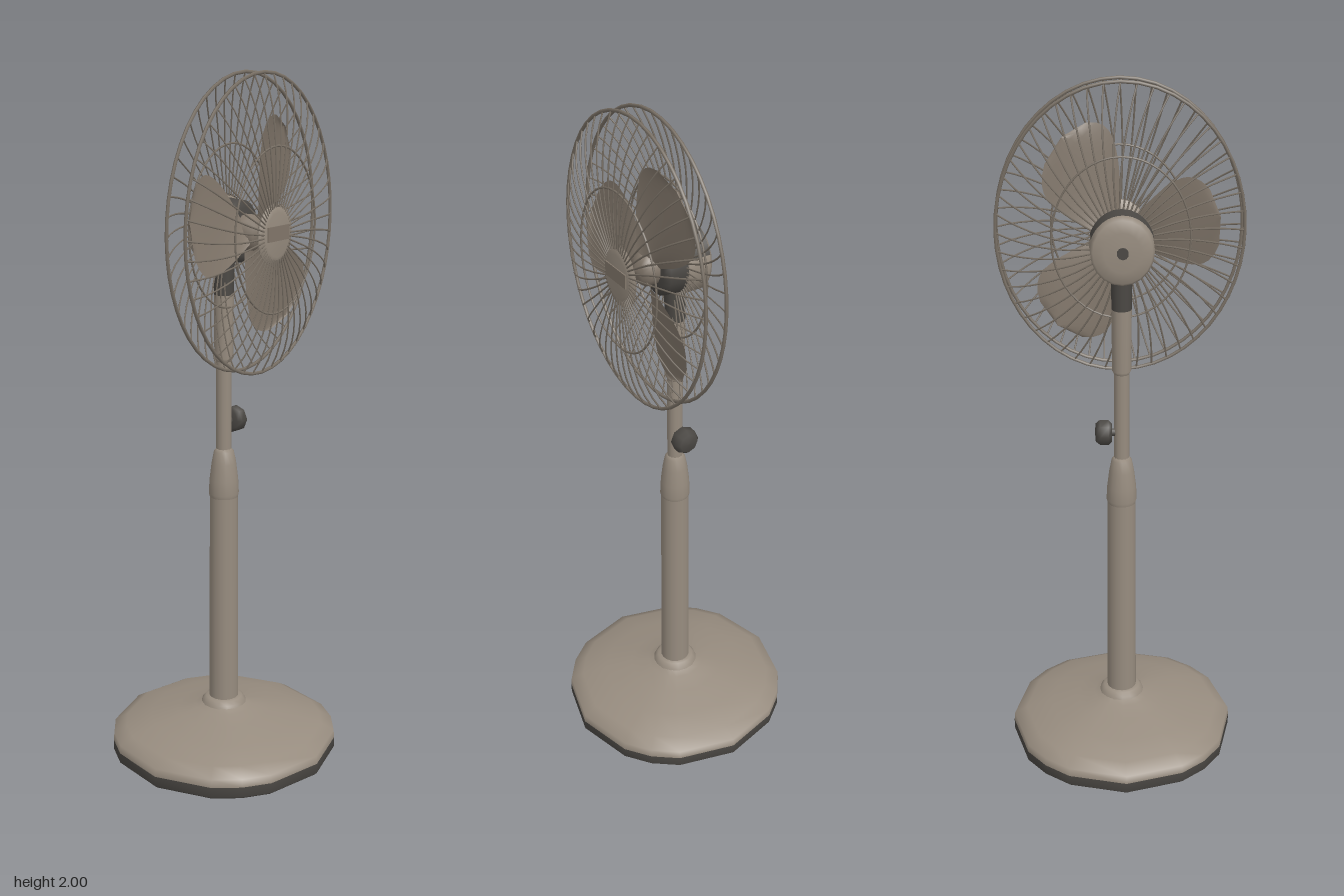
import * as THREE from 'three';
import { mergeGeometries } from 'three/addons/utils/BufferGeometryUtils.js';

const material = (name, color, side = THREE.FrontSide) => {
  const m = new THREE.MeshStandardMaterial({ color, side });
  m.name = name;
  return m;
};

const HUB_Y = 1.57; // height of the fan axis
const STRETCH = 1.18; // the head is taller than wide
const RIM = 0.342;

// Point on the oval head at polar radius r and angle a
const headPoint = (r, a, z) => new THREE.Vector3(
  r * Math.cos(a), HUB_Y + STRETCH * r * Math.sin(a) + 0.02 * r / RIM, z);

const lathe = (profile, segments = 16) => new THREE.LatheGeometry(
  profile.map(([r, y]) => new THREE.Vector2(r, y)), segments);

// Turned part along the fan axis: profile is [radius, z]
const axial = (profile, segments) =>
  lathe(profile, segments).rotateX(Math.PI / 2).scale(1, STRETCH * 0.93, 1).translate(0, HUB_Y, 0);

// Foot outline with uneven sides: corners at 0, 30, 45 and 60 degrees of each quarter
function footGeometry(profile) {
  const g = lathe(profile, 16);
  const corners = [0, 30, 45, 60];
  const p = g.attributes.position;
  for (let k = 0; k < p.count; k++) {
    const i = Math.floor(k / profile.length);
    const a = THREE.MathUtils.degToRad(Math.floor(i / 4) * 90 + corners[i % 4]);
    const r = profile[k % profile.length][0];
    p.setXYZ(k, r * Math.sin(a), p.getY(k), r * Math.cos(a));
  }
  return g;
}

// Oval ring of wire around the head
function ringGeometry(r, z, thickness) {
  const points = [];
  for (let i = 0; i < 24; i++) points.push(headPoint(r, i * Math.PI / 12, z));
  return new THREE.TubeGeometry(new THREE.CatmullRomCurve3(points, true), 48, thickness, 5, true);
}

// Radial wires following a [radius, z] profile, swept round by twist
function wiresGeometry(profile, count, twist) {
  const wires = [];
  for (let i = 0; i < count; i++) {
    const a = (i / count) * Math.PI * 2;
    const points = profile.map(([r, z]) => headPoint(r, a + twist * (1 - r / RIM), z));
    wires.push(new THREE.TubeGeometry(new THREE.CatmullRomCurve3(points), 8, 0.0025, 4));
  }
  return mergeGeometries(wires);
}

// Pitched blade with a rounded tip
function bladeGeometry(angle) {
  const g = new THREE.PlaneGeometry(1, 2, 14, 8);
  const p = g.attributes.position;
  for (let i = 0; i < p.count; i++) {
    const u = p.getX(i) + 0.5, v = p.getY(i);
    const tip = Math.sqrt(Math.max(0, 1 - Math.pow(Math.max(0, (u - 0.6) / 0.4), 2.5)));
    const width = (0.03 + 0.085 * Math.sin(Math.min(1, u * 1.3) * Math.PI / 2)) * tip;
    const x = 0.035 + 0.245 * u;
    const y = v * width + 0.02 * u;
    const z = 0.095 + 0.022 * v * tip - 0.008 * (1 - v * v) * u;
    const c = Math.cos(angle), s = Math.sin(angle);
    p.setXYZ(i, x * c - y * s, HUB_Y + STRETCH * (x * s + y * c), z);
  }
  g.computeVertexNormals();
  return g;
}

export function createModel() {
  const body = material('warm grey plastic', 0x978c7f);
  const dark = material('dark grey plastic', 0x4b4844, THREE.DoubleSide);
  const wire = material('grey wire', 0x7a7166);
  const bladeGrey = material('blade grey', 0x82776b, THREE.DoubleSide);

  const model = new THREE.Group();
  model.name = 'pedestalFan';
  const add = (name, geometry, mat, parent = model) => {
    const mesh = new THREE.Mesh(geometry, mat);
    mesh.name = name;
    parent.add(mesh);
    return mesh;
  };

  // Foot
  add('footBottom', footGeometry([[0, 0.003], [0.325, 0.003]]), dark);
  add('footRing', footGeometry([[0.325, 0.003], [0.335, 0.012], [0.335, 0.042]]), dark);
  add('footCover', footGeometry([[0.335, 0.042], [0.333, 0.066], [0.295, 0.088], [0.22, 0.11],
    [0.14, 0.128], [0.085, 0.141], [0.066, 0.15]]), body);
  add('footCollar', lathe([[0.07, 0.14], [0.064, 0.157], [0.054, 0.168], [0.04, 0.17]]), body);

  // Stand
  add('column', lathe([[0.044, 0.15], [0.041, 0.8]]), body);
  add('columnSleeve', lathe([[0.04, 0.795], [0.044, 0.81], [0.042, 0.85], [0.036, 0.9],
    [0.029, 0.935], [0.02, 0.945], [0, 0.945]]), body);
  add('innerTube', lathe([[0.022, 0.92], [0.022, 1.22]], 12), body);
  add('neck', lathe([[0.022, 1.2], [0.027, 1.21], [0.028, 1.39]], 12), body);
  add('neckTop', lathe([[0.028, 1.39], [0.03, 1.52]], 12), dark);

  // Height knob
  const knob = new THREE.Group();
  knob.name = 'heightKnob';
  knob.position.set(0, 1.02, 0);
  knob.rotation.z = -Math.PI / 2;
  model.add(knob);
  add('knobStem', new THREE.CylinderGeometry(0.012, 0.012, 0.03, 8).translate(0, 0.025, 0), dark, knob);
  add('knobGrip', lathe([[0, 0.028], [0.028, 0.028], [0.038, 0.038], [0.038, 0.062],
    [0.028, 0.074], [0, 0.076]], 8), dark, knob);

  // Motor
  add('motorFront', axial([[0.082, 0.005], [0.078, 0.06], [0.06, 0.072], [0, 0.074]], 20), dark);
  add('motorShell', axial([[0, -0.071], [0.05, -0.07], [0.08, -0.064], [0.087, -0.054],
    [0.088, 0.008], [0.07, 0.01], [0, 0.01]], 20), body);
  const topCover = new THREE.CylinderGeometry(0.09, 0.09, 0.064, 16, 1, true, Math.PI / 2 + 0.35, Math.PI - 0.7);
  add('motorTopCover', topCover.rotateX(Math.PI / 2).scale(1, STRETCH * 0.93, 1)
    .translate(0, HUB_Y, -0.023), dark);
  add('rearButton', new THREE.CylinderGeometry(0.016, 0.016, 0.012, 10).rotateX(Math.PI / 2)
    .translate(0, HUB_Y, -0.073), dark);

  // Blades
  add('bladeHub', axial([[0.045, 0.07], [0.045, 0.1], [0.032, 0.118], [0, 0.126]], 16), bladeGrey);
  for (const degrees of [52, 167, -55]) {
    add('blade', bladeGeometry(THREE.MathUtils.degToRad(degrees)), bladeGrey);
  }

  // Guard cage
  const front = [[0.06, 0.176], [0.16, 0.178], [0.24, 0.17], [0.3, 0.153], [RIM, 0.13]];
  const back = [[0.075, 0.014], [0.16, 0.02], [0.24, 0.035], [0.3, 0.052], [RIM, 0.07]];
  add('frontWires', wiresGeometry(front, 48, 0.12), wire);
  add('backWires', wiresGeometry(back, 48, -0.25), wire);
  add('frontRim', ringGeometry(RIM, 0.13, 0.005), wire);
  add('backRim', ringGeometry(RIM, 0.07, 0.005), wire);
  add('frontMiddleRing', ringGeometry(0.19, 0.175, 0.003), wire);
  add('backMiddleRing', ringGeometry(0.19, 0.025, 0.003), wire);

  // Front cap with blank plate
  add('frontCap', axial([[0, 0.145], [0.045, 0.148], [0.076, 0.164], [0.078, 0.172],
    [0.055, 0.179], [0, 0.181]], 16), body);
  add('capPlate', new THREE.BoxGeometry(0.1, 0.04, 0.006).translate(0, HUB_Y + 0.005, 0.18), bladeGrey);

  return model;
}
